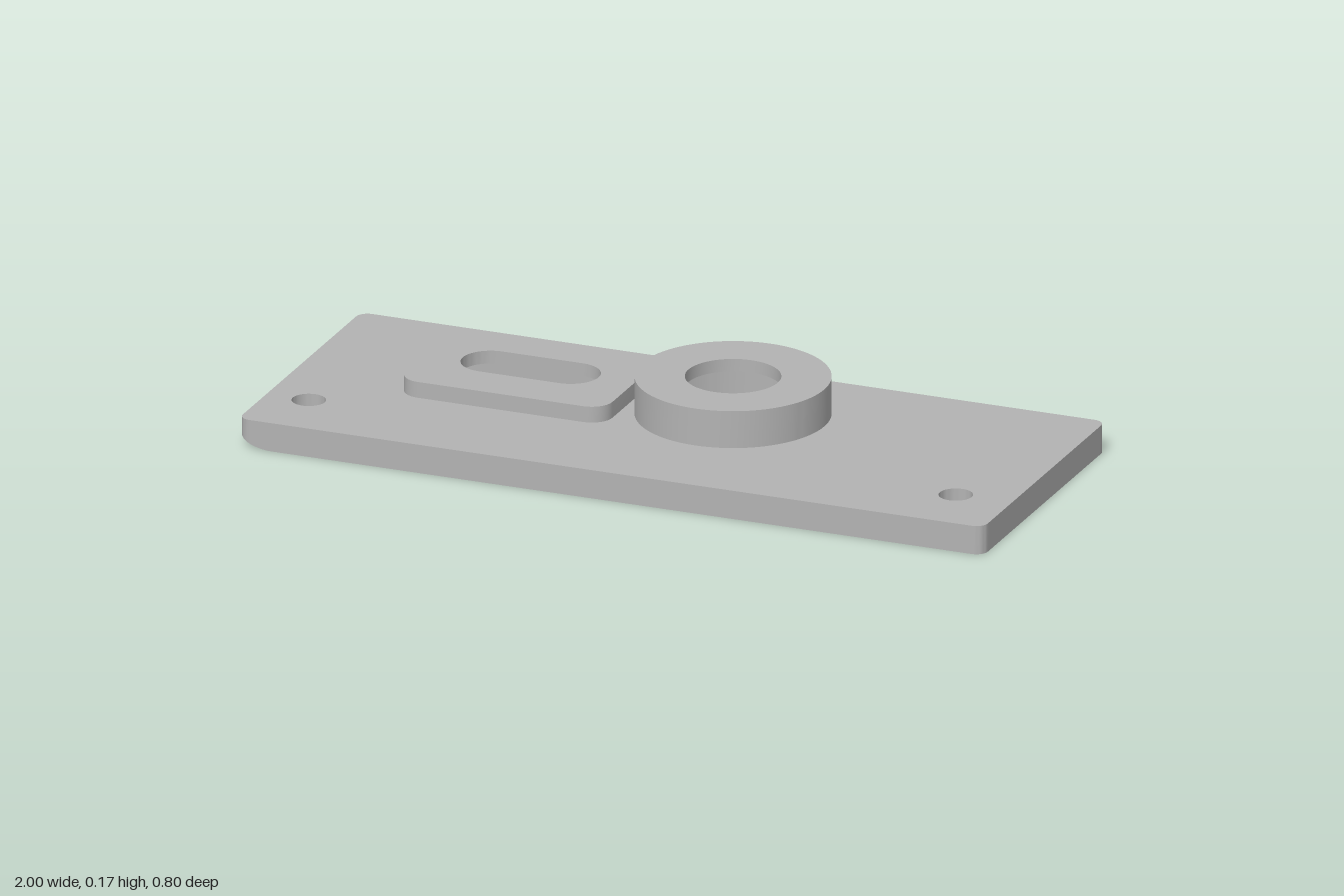
import * as THREE from 'three';
import { toCreasedNormals } from 'three/addons/utils/BufferGeometryUtils.js';

const steel = new THREE.MeshStandardMaterial({ color: 0xb3b3b3, side: THREE.DoubleSide });
steel.name = 'plain grey metal';

// Plan outlines: counter-clockwise Vector2 lists in (x, -z)
function roundedRect(cx, cz, w, d, r, steps = 8) {
  const pts = [];
  const corners = [[1, -1], [1, 1], [-1, 1], [-1, -1]];
  corners.forEach(([sx, sy], k) => {
    for (let i = 0; i <= steps; i++) {
      const a = (k - 1 + i / steps) * Math.PI / 2;
      pts.push(new THREE.Vector2(
        cx + sx * (w / 2 - r) + r * Math.cos(a),
        -cz + sy * (d / 2 - r) + r * Math.sin(a)));
    }
  });
  return pts;
}

function rect(x0, x1, z0, z1) {
  return [[x0, -z1], [x1, -z1], [x1, -z0], [x0, -z0]].map(([x, y]) => new THREE.Vector2(x, y));
}

function circle(cx, cz, r, n = 64) {
  return Array.from({ length: n }, (_, i) => {
    const a = i / n * Math.PI * 2;
    return new THREE.Vector2(cx + r * Math.cos(a), -cz + r * Math.sin(a));
  });
}

// Split long edges so an outline can follow a curved surface
function dense(pts, step = 0.01) {
  return pts.flatMap((p, i) => {
    const q = pts[(i + 1) % pts.length];
    const n = Math.max(1, Math.ceil(p.distanceTo(q) / step - 1e-6));
    return Array.from({ length: n }, (_, k) => p.clone().lerp(q, k / n));
  });
}

// Underside height: the -x end sweeps up in an arc
function underside(x) {
  const d = Math.max(0, -0.91 - x);
  return 0.15 - Math.sqrt(0.0225 - d * d);
}

function add(group, name, geometry) {
  const mesh = new THREE.Mesh(toCreasedNormals(geometry, 0.6), steel);
  mesh.name = name;
  group.add(mesh);
}

// Skin between successive closed rings of 3D points
function skin(rings) {
  const n = rings[0].length;
  const pos = rings.flatMap(r => r.flatMap(p => [p.x, p.y, p.z]));
  const idx = [];
  for (let i = 0; i < rings.length - 1; i++) {
    for (let j = 0; j < n; j++) {
      const k = (j + 1) % n;
      const a = i * n + j, b = i * n + k, c = b + n, d = a + n;
      idx.push(a, b, c, a, c, d);
    }
  }
  const g = new THREE.BufferGeometry();
  g.setAttribute('position', new THREE.Float32BufferAttribute(pos, 3));
  g.setIndex(idx);
  return g;
}

const lift = (pts, h) => pts.map(p => new THREE.Vector3(p.x, h(p.x), -p.y));

function wall(pts, low, high, inward = false) {
  const path = inward ? [...pts].reverse() : pts;
  const bottom = typeof low === 'function' ? low : () => low;
  return skin([lift(path, bottom), lift(path, () => high)]);
}

// Flat level face with holes
function level(pts, y, holes = [], down = false) {
  const shape = new THREE.Shape(pts);
  shape.holes = holes.map(h => new THREE.Path(h));
  const g = new THREE.ShapeGeometry(shape);
  g.rotateX(-Math.PI / 2).translate(0, y, 0);
  if (down) g.setIndex(Array.from(g.index.array).reverse());
  return g;
}

export function createModel() {
  const model = new THREE.Group();
  model.name = 'mountingPlate';
  const part = name => {
    const g = new THREE.Group();
    g.name = name;
    model.add(g);
    return g;
  };
  const top = 0.075, bossTop = 0.117, ringTop = 0.173;
  const pocketRoof = 0.083, boreRoof = 0.14, sinkRoof = 0.03, seam = -0.75;

  const outline = dense(roundedRect(0, 0, 2, 0.8, 0.03));
  const bossOutline = roundedRect(-0.42, -0.1, 0.555, 0.395, 0.055);
  const slot = roundedRect(-0.422, -0.104, 0.365, 0.15, 0.0749, 16);
  const pocket = rect(-0.65, -0.21, -0.23, 0.045);
  const ringOutline = circle(0.122, -0.102, 0.245, 96);
  const ringHole = circle(0.122, -0.102, 0.12);
  const bore = circle(0.122, -0.102, 0.212, 96);
  const holeA = circle(0.85, 0.214, 0.043, 40);
  const holeB = circle(-0.887, 0.214, 0.043, 40);

  // Base plate: top, rim and flat underside
  const plate = part('basePlate');
  add(plate, 'plateTop', level(outline, top, [bossOutline, ringOutline, holeA, holeB]));
  add(plate, 'plateRim', wall(outline, underside, top));
  add(plate, 'plateUnderside',
    level(outline.filter(p => p.x > seam - 1e-4), 0, [pocket, bore, holeA], true));

  // Curved end of the underside, spread outward from the recessed screw hole
  const endOuter = dense(outline.filter(p => p.x < seam + 1e-4));
  const centre = new THREE.Vector2(-0.887, -0.214);
  const sink = endOuter.map(p => p.clone().sub(centre).setLength(0.086).add(centre));
  const rings = [];
  for (let i = 0; i <= 16; i++) {
    rings.push(lift(sink.map((p, j) => p.clone().lerp(endOuter[j], i / 16)), underside));
  }
  add(plate, 'curvedEnd', skin(rings));

  // Screw holes
  const holes = part('screwHoles');
  add(holes, 'plainHole', wall(holeA, 0, top, true));
  add(holes, 'recessWall', wall(sink, underside, sinkRoof, true));
  add(holes, 'recessRoof', level(sink, sinkRoof, [holeB], true));
  add(holes, 'recessedHole', wall(holeB, sinkRoof, top, true));

  // Raised shells, each with an opening on top and a hollow below
  const shell = (name, outer, opening, hollow, high, roof) => {
    const g = part(name);
    add(g, name + 'Side', wall(outer, top, high));
    add(g, name + 'Top', level(outer, high, [opening]));
    add(g, name + 'Opening', wall(opening, roof, high, true));
    add(g, name + 'Roof', level(hollow, roof, [opening], true));
    add(g, name + 'Hollow', wall(hollow, 0, roof, true));
  };
  shell('slotBoss', bossOutline, slot, pocket, bossTop, pocketRoof);
  shell('roundBoss', ringOutline, ringHole, bore, ringTop, boreRoof);
  return model;
}
